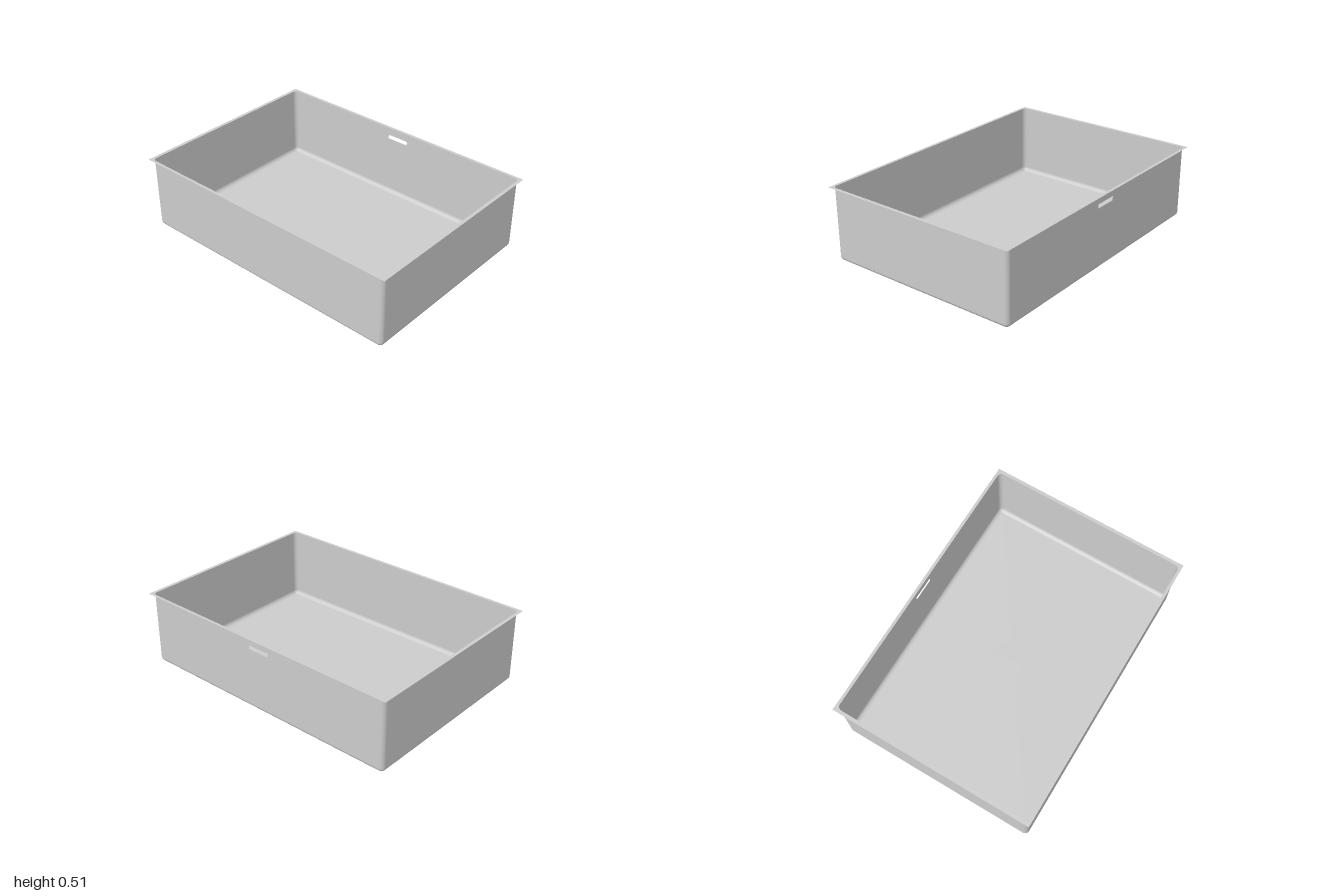
import * as THREE from 'three';

const W = 0.977, D = 0.69, H = 0.51;   // half width, half depth, height of the basin
const RIM_W = 1, RIM_D = 0.71;         // half sizes of the rim
const R = 0.03;                        // radius of all rounded edges

const material = new THREE.MeshStandardMaterial({ color: 0xcccccc, side: THREE.DoubleSide });

function mesh(name, geometry) {
  const m = new THREE.Mesh(geometry, material);
  m.name = name;
  return m;
}

function rectangle(target, x0, y0, x1, y1) {
  target.moveTo(x0, y0);
  target.lineTo(x1, y0);
  target.lineTo(x1, y1);
  target.lineTo(x0, y1);
  target.closePath();
  return target;
}

function roundedRectangle(target, w, d, r) {
  target.absarc(w - r, d - r, r, 0, Math.PI / 2);
  target.absarc(r - w, d - r, r, Math.PI / 2, Math.PI);
  target.absarc(r - w, r - d, r, Math.PI, Math.PI * 1.5);
  target.absarc(w - r, r - d, r, Math.PI * 1.5, Math.PI * 2);
  target.closePath();
  return target;
}

// Flat wall plus the rounded edge that leads into the floor, facing +z
function side(name, halfLength, distance, hasOverflow) {
  const group = new THREE.Group();
  group.name = name;
  const l = halfLength - R;

  const shape = rectangle(new THREE.Shape(), -l, R, l, H);
  if (hasOverflow) shape.holes.push(rectangle(new THREE.Path(), -0.08, 0.427, 0.08, 0.455));
  const wall = mesh('wall', new THREE.ShapeGeometry(shape));
  wall.position.z = distance;

  const bend = new THREE.CylinderGeometry(R, R, 2 * l, 8, 1, true, -Math.PI / 2, Math.PI / 2);
  const bottomEdge = mesh('bottomEdge', bend.rotateZ(Math.PI / 2));
  bottomEdge.position.set(0, R, distance - R);

  group.add(wall, bottomEdge);
  return group;
}

export function createModel() {
  const model = new THREE.Group();
  model.name = 'sink';

  // Four sides and four rounded corners, turning around the basin
  const profile = [];
  for (let i = 0; i <= 8; i++) {
    const a = (i / 8) * Math.PI / 2;
    profile.push(new THREE.Vector2(R * Math.sin(a), R - R * Math.cos(a)));
  }
  profile.push(new THREE.Vector2(R, H));
  const cornerGeometry = new THREE.LatheGeometry(profile, 8, 0, Math.PI / 2);

  ['front', 'left', 'back', 'right'].forEach((name, k) => {
    const even = k % 2 === 0;
    const panel = side(name + 'Side', even ? W : D, even ? D : W, name === 'back');
    panel.rotation.y = k * Math.PI / 2;

    const corner = mesh('corner', cornerGeometry);
    corner.rotation.y = k * Math.PI / 2;
    corner.position.set((k < 2 ? 1 : -1) * (W - R), 0, (k === 0 || k === 3 ? 1 : -1) * (D - R));
    model.add(panel, corner);
  });

  // Floor
  const floor = mesh('floor', new THREE.PlaneGeometry(2 * (W - R), 2 * (D - R)).rotateX(-Math.PI / 2));

  // Flush drain cover
  const drain = mesh('drainCover', new THREE.CircleGeometry(0.12, 48).rotateX(-Math.PI / 2));
  drain.position.set(0, 0.001, -0.045);

  // Thin flat rim around the opening
  const rimShape = rectangle(new THREE.Shape(), -RIM_W, -RIM_D, RIM_W, RIM_D);
  rimShape.holes.push(roundedRectangle(new THREE.Path(), W, D, R));
  const rim = mesh('rim', new THREE.ShapeGeometry(rimShape, 8).rotateX(-Math.PI / 2));
  rim.position.y = H;

  model.add(floor, drain, rim);
  return model;
}
